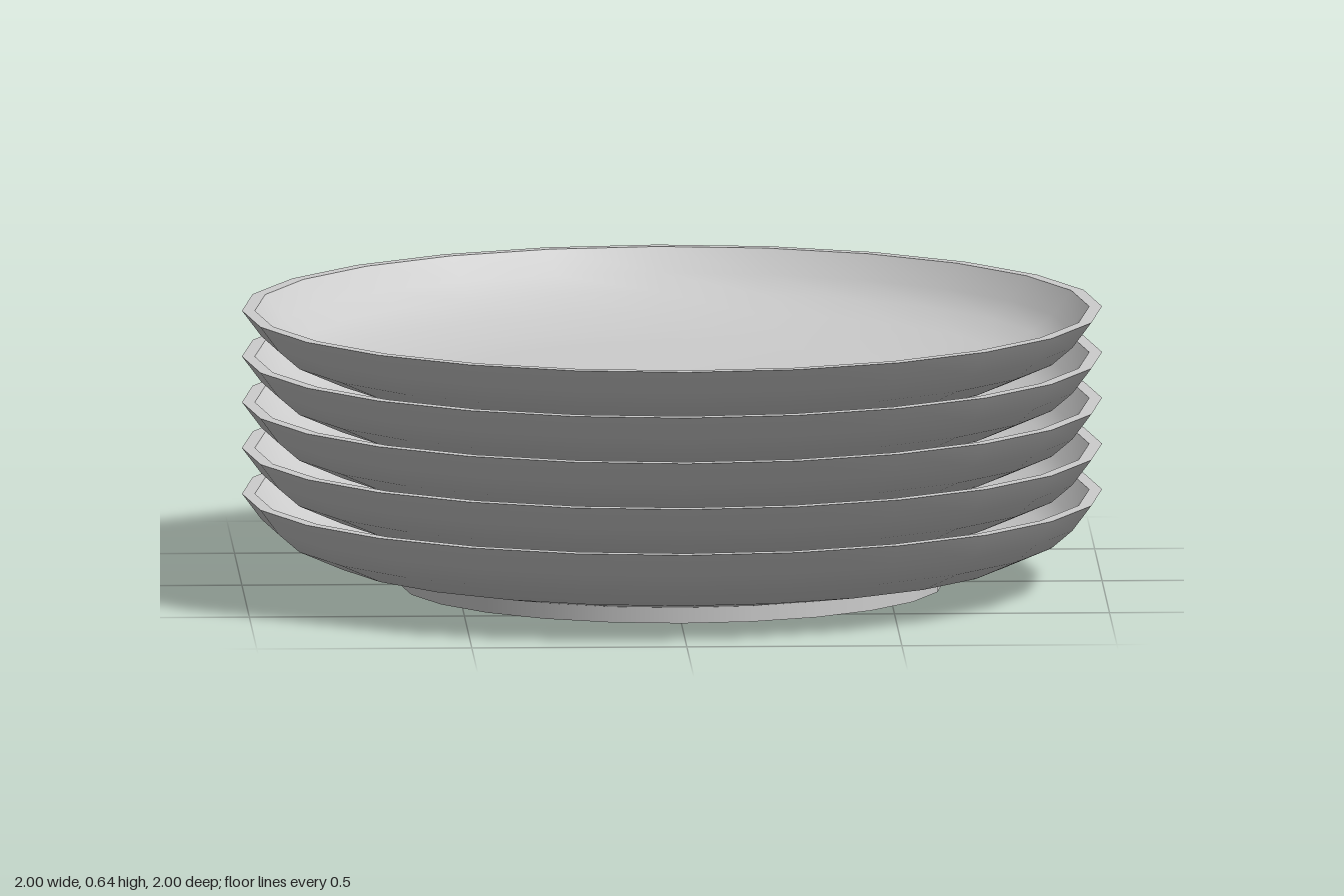
import * as THREE from 'three';
import { mergeGeometries } from 'three/addons/utils/BufferGeometryUtils.js';

const SIDES = 24;
const PLATES = 5;
const SPACING = 0.1075;

// Each profile is smooth along its length; separate profiles meet at sharp edges.
const PROFILES = [
  // recessed underside
  [[0, 0.014], [0.587, 0.014]],
  // foot ring: inner wall, base, outer wall
  [[0.587, 0.014], [0.587, 0]],
  [[0.587, 0], [0.633, 0]],
  [[0.633, 0], [0.633, 0.037]],
  // outer bowl
  [[0.633, 0.037], [0.8, 0.066], [0.905, 0.112], [0.955, 0.155], [1, 0.215]],
  // flat rim
  [[1, 0.215], [0.97, 0.215]],
  // inner bowl and floor
  [[0.97, 0.215], [0.925, 0.16], [0.875, 0.122], [0.78, 0.09], [0.6, 0.068], [0.45, 0.065], [0, 0.065]],
];

function plateGeometry() {
  return mergeGeometries(PROFILES.map((profile) =>
    new THREE.LatheGeometry(profile.map(([r, y]) => new THREE.Vector2(r, y)), SIDES)));
}

export function createModel() {
  const model = new THREE.Group();
  model.name = 'plateStack';

  const ceramic = new THREE.MeshStandardMaterial({ color: 0xcccccc });
  ceramic.name = 'light grey ceramic';

  // Identical plates nested in one another
  const geometry = plateGeometry();
  for (let i = 0; i < PLATES; i++) {
    const plate = new THREE.Mesh(geometry, ceramic);
    plate.name = `plate${i + 1}`;
    plate.position.y = i * SPACING;
    model.add(plate);
  }
  return model;
}
